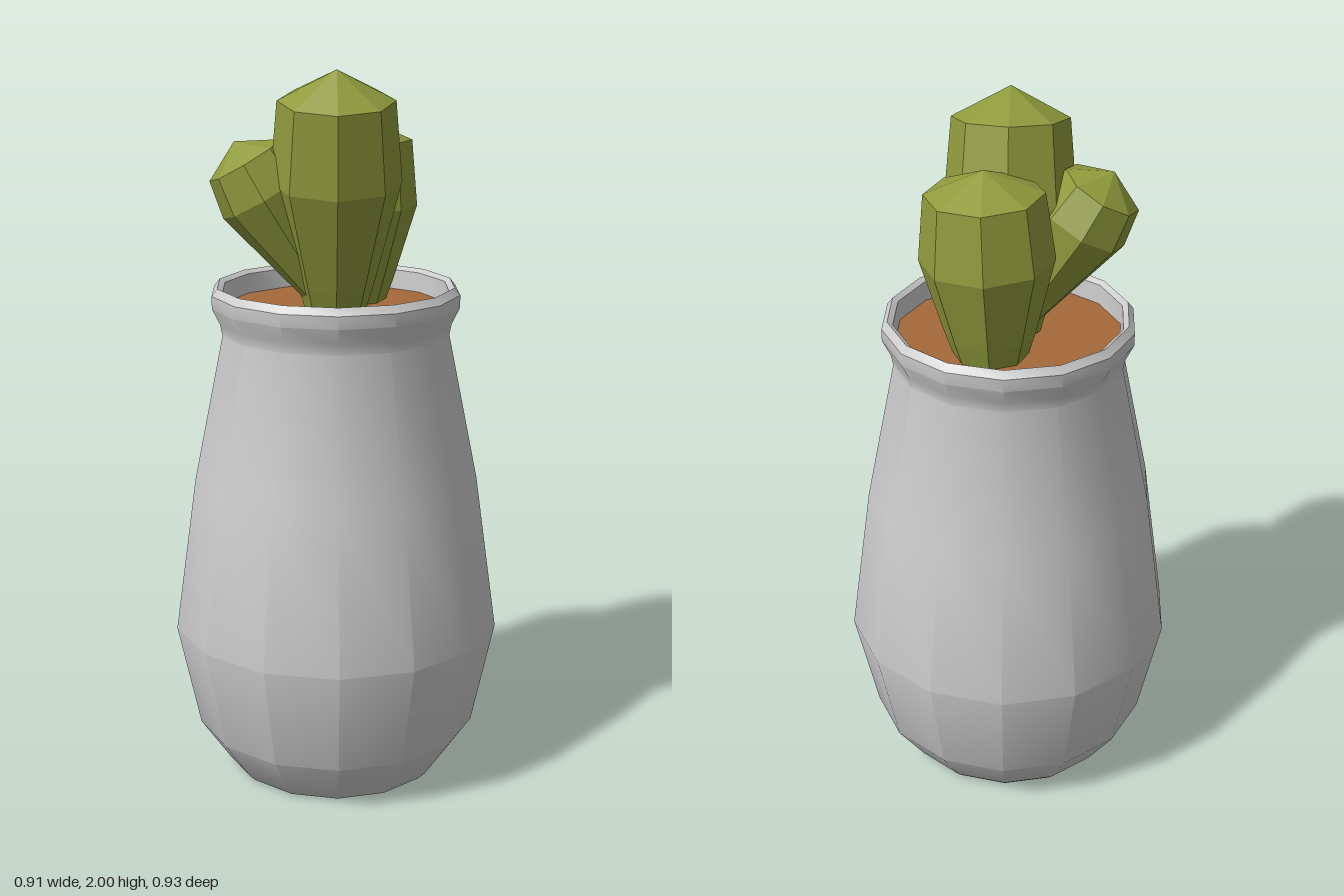
import * as THREE from 'three';
import { toCreasedNormals } from 'three/addons/utils/BufferGeometryUtils.js';

const SIDES = 14;

// Lathe from [radius, height] pairs, listed bottom to top
function lathe(profile, sides) {
  return new THREE.LatheGeometry(profile.map(([r, y]) => new THREE.Vector2(r, y)), sides);
}

export function createModel() {
  const model = new THREE.Group();

  const clay = new THREE.MeshStandardMaterial({ color: 0xcccccc });
  const earth = new THREE.MeshStandardMaterial({ color: 0xa5693a });
  const green = new THREE.MeshStandardMaterial({ color: 0x8f9b3c, flatShading: true });

  // Vase-shaped pot with a beaded rim and a short inner wall
  const potProfile = [
    [0, 0], [0.3, 0], [0.32, 0.02], [0.402, 0.14], [0.465, 0.44], [0.402, 0.88],
    [0.318, 1.285], [0.324, 1.315], [0.346, 1.36], [0.346, 1.395], [0.33, 1.415],
    [0.315, 1.405], [0.31, 1.33],
  ];
  const pot = new THREE.Mesh(toCreasedNormals(lathe(potProfile, SIDES), 0.56), clay);
  pot.name = 'pot';
  model.add(pot);

  // Soil disc, turned so its corners meet the pot's
  const soilShape = new THREE.CircleGeometry(0.312, SIDES, Math.PI / 2);
  soilShape.rotateX(-Math.PI / 2);
  const soil = new THREE.Mesh(soilShape, earth);
  soil.name = 'soil';
  soil.position.y = 1.35;
  model.add(soil);

  // Eight-sided cactus stems; each origin is the middle of the widest ring
  const stems = [
    {
      name: 'frontCactus', at: [0, 1.705, 0.082], tilt: [10, 0],
      profile: [[0, -0.37], [0.085, -0.36], [0.107, -0.281], [0.176, 0], [0.156, 0.218], [0, 0.299]],
    },
    {
      name: 'backCactus', at: [0.052, 1.62, -0.11], tilt: [0, -2],
      profile: [[0, -0.29], [0.1, -0.275], [0.121, -0.21], [0.178, 0], [0.156, 0.18], [0, 0.242]],
    },
    {
      name: 'sideCactus', at: [-0.19, 1.665, 0.035], tilt: [0, 30],
      profile: [[0, -0.335], [0.047, -0.325], [0.064, -0.257], [0.131, 0], [0.111, 0.105], [0, 0.163]],
    },
  ];
  for (const { name, at, tilt, profile } of stems) {
    const stem = new THREE.Mesh(lathe(profile, 8), green);
    stem.name = name;
    stem.position.set(...at);
    stem.rotation.set(THREE.MathUtils.degToRad(tilt[0]), 0, THREE.MathUtils.degToRad(tilt[1]));
    model.add(stem);
  }

  return model;
}
